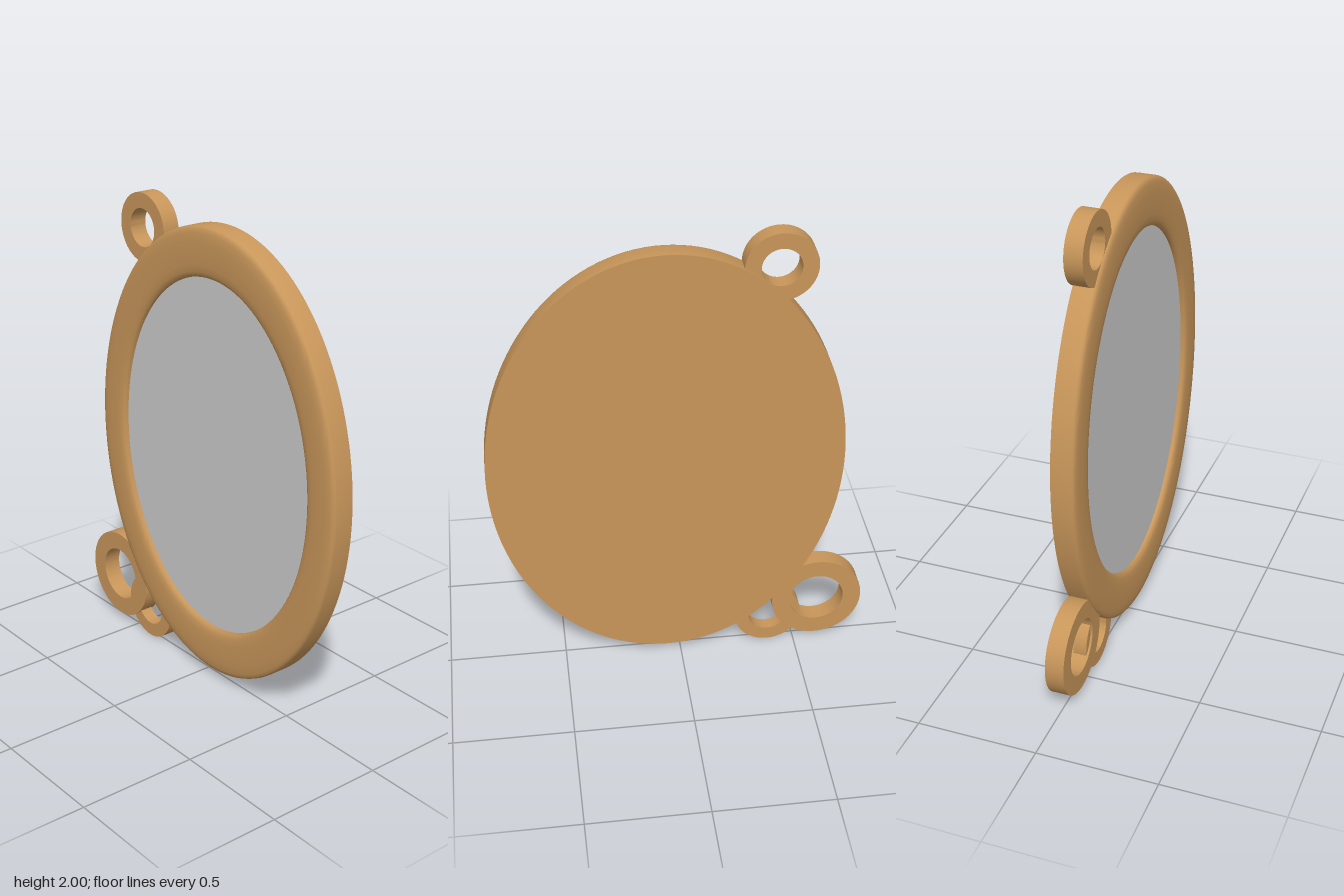
import * as THREE from 'three';
import { toCreasedNormals } from 'three/addons/utils/BufferGeometryUtils.js';

const wood = new THREE.MeshStandardMaterial({ color: 0xc8965a });
const glassGrey = new THREE.MeshStandardMaterial({ color: 0xcccccc });

// Turn a [radius, z] profile about the z axis, keeping its sharp edges
function turned(profile, segments, sx = 1, sy = 1) {
  const points = profile.map(([r, z]) => new THREE.Vector2(r, z));
  const geometry = new THREE.LatheGeometry(points, segments);
  geometry.rotateX(Math.PI / 2);
  geometry.scale(sx, sy, 1);
  return toCreasedNormals(geometry, 0.6);
}

function addPart(group, name, geometry, material, x, y, z = 0) {
  const mesh = new THREE.Mesh(geometry, material);
  mesh.name = name;
  mesh.position.set(x, y, z);
  group.add(mesh);
}

export function createModel() {
  const model = new THREE.Group();
  model.name = 'ovalMirror';
  const cx = 0.055, cy = 0.99, rx = 0.73, ry = 0.955;

  // Oval frame: flat back, straight side, softly domed front with a recess
  const frame = [
    [0, -0.05], [1, -0.05], [1, 0.028], [0.997, 0.036], [0.989, 0.042],
    [0.975, 0.046], [0.94, 0.049], [0.89, 0.05], [0.84, 0.049],
    [0.81, 0.046], [0.796, 0.041], [0.789, 0.034], [0.787, 0.015],
  ];
  addPart(model, 'frame', turned(frame, 128, rx, ry), wood, cx, cy);

  // Mirror glass set into the frame
  const glass = new THREE.CircleGeometry(0.79, 128);
  glass.scale(rx, ry, 1);
  addPart(model, 'mirrorGlass', glass, glassGrey, cx, cy, 0.024);

  // Flat rings on the edge: name, x, y, outer radius, hole radius, back z, front z
  const rings = [
    ['upperRing', -0.385, 1.857, 0.143, 0.079, -0.04, 0.034],
    ['lowerSmallRing', -0.385, 0.143, 0.143, 0.084, -0.031, 0.025],
    ['lowerLargeRing', -0.595, 0.223, 0.195, 0.117, -0.044, 0.034],
  ];
  for (const [name, x, y, outer, hole, back, front] of rings) {
    const section = [[hole, back], [outer, back], [outer, front], [hole, front], [hole, back]];
    addPart(model, name, turned(section, 64), wood, x, y);
  }
  return model;
}
